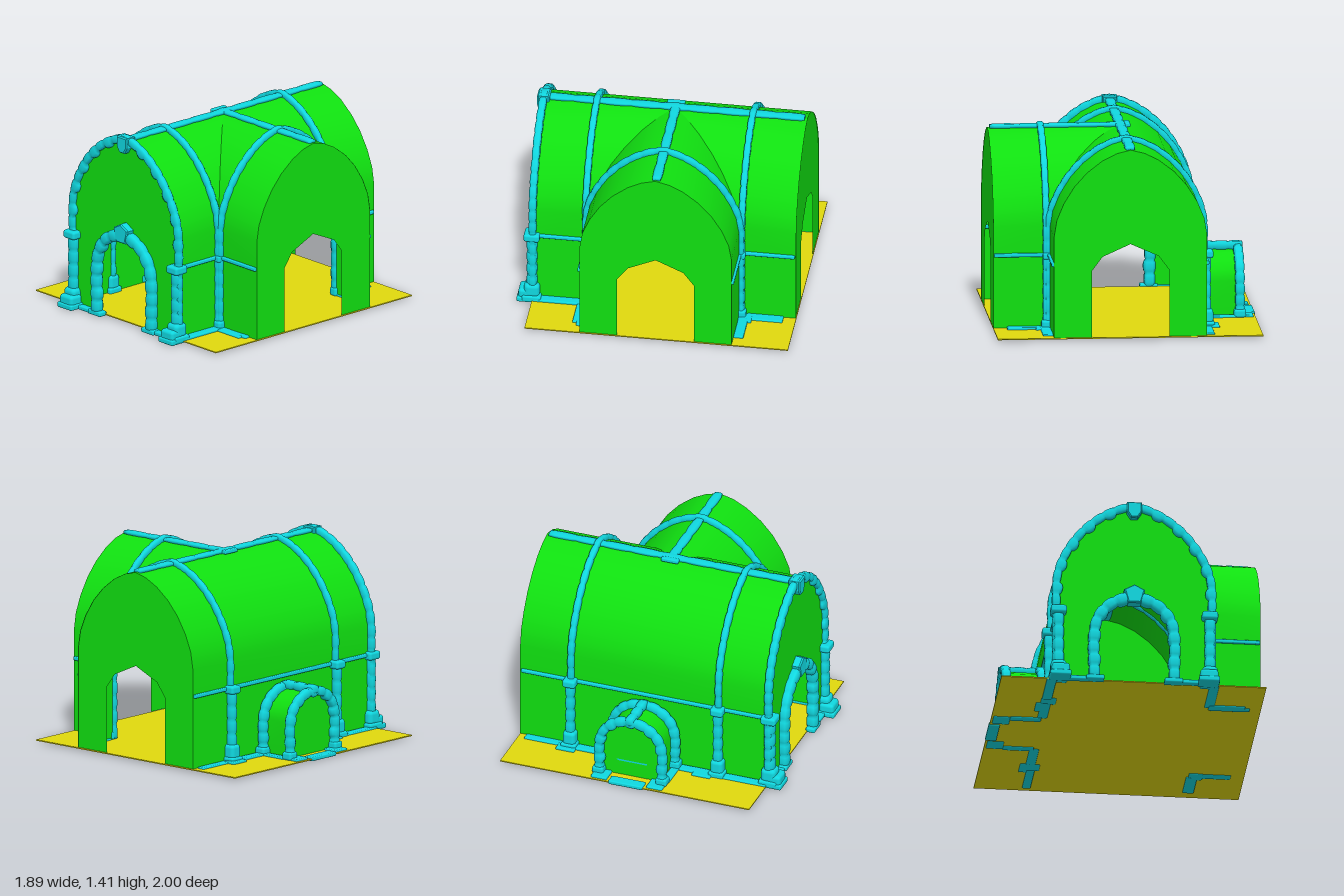
import * as THREE from 'three';
import { RoundedBoxGeometry } from 'three/addons/geometries/RoundedBoxGeometry.js';

const V = (x, y, z) => new THREE.Vector3(x, y, z);
const mat = (color) => new THREE.MeshStandardMaterial({ color, side: THREE.DoubleSide });
const CZ = -0.05; // centre line of the side wing and alcove
const FRONT = 0.885, BACK = -1, END = 0.945;

// Half profiles: [offset from centre, height], from the ground to the crown
const VAULT = [[0.545, 0.02], [0.545, 0.53], [0.545, 0.75], [0.525, 0.87], [0.475, 0.99], [0.4, 1.11],
  [0.31, 1.21], [0.2, 1.295], [0.1, 1.345], [0, 1.37]];
const DOOR = [[0.275, 0.02], [0.275, 0.5], [0.2, 0.6], [0, 0.69]];
const DOOR_TRIM = [[0.285, 0.02], [0.285, 0.38], [0.255, 0.5], [0.18, 0.595], [0.09, 0.645], [0, 0.665]];
const ALCOVE = [[0.215, 0.02], [0.215, 0.27], [0.195, 0.34], [0.15, 0.405], [0.08, 0.45], [0, 0.465]];
const WINDOW = [[0.1, 0.14], [0.1, 0.3], [0.075, 0.365], [0, 0.405]];

// Whole arch, left foot to right foot
const both = (p) => [...p.map(([d, h]) => [-d, h]), ...p.slice(0, -1).reverse()];
const grow = (p, k) => p.map(([d, h]) => [d + (d > 0.01 ? k * Math.min(1, d * 4) : 0), h > 0.6 ? h + k * (1 - d) : h]);

export function createModel() {
  const group = new THREE.Group();
  const green = mat(0x10e010), cyan = mat(0x10d8e0), yellow = mat(0xe0d80e);

  const add = (name, geo, material) => {
    const m = new THREE.Mesh(geo, material);
    m.name = name;
    group.add(m);
    return m;
  };
  const block = (name, x, y, z, w, h, d) =>
    add(name, new RoundedBoxGeometry(w, h, d, 2, Math.min(w, h, d) * 0.3), cyan).position.set(x, y, z);
  const build = (pos, idx) => {
    const g = new THREE.BufferGeometry();
    g.setAttribute('position', new THREE.Float32BufferAttribute(pos, 3));
    g.setIndex(idx);
    g.computeVertexNormals();
    return g;
  };

  // Ruled surface along a half profile; place(d, h) gives its two ends
  const sheet = (name, profile, place) => {
    const pos = [], idx = [];
    profile.forEach(([d, h], i) => {
      for (const p of place(d, h)) pos.push(p.x, p.y, p.z);
      const a = i * 2;
      if (i) idx.push(a - 2, a, a - 1, a - 1, a, a + 1);
    });
    add(name, build(pos, idx), green);
  };

  // Flat wall with a doorway cut into its foot; across turns it to face +x
  const wall = (name, outline, notch, at, across, material = green) => {
    const pts = both(outline);
    if (notch) pts.push(...both(notch).reverse());
    const g = new THREE.ShapeGeometry(new THREE.Shape(pts.map(([x, y]) => new THREE.Vector2(x, y))));
    if (across) g.rotateY(Math.PI / 2).translate(at, 0, CZ);
    else g.translate(0, 0, at);
    add(name, g, material);
  };

  // Chain of bulging stones swept along a path; axis is the fixed depth direction
  const CORNERS = [[1, -0.55], [1, 0.55], [0.55, 1], [-0.55, 1], [-1, 0.55], [-1, -0.55], [-0.55, -1], [0.55, -1]];
  const trim = (name, pts, axis, w, d, stones, bump = 0) => {
    const curve = new THREE.CatmullRomCurve3(pts, false, 'centripetal');
    const pos = [], idx = [], n = stones * 6;
    for (let i = 0; i <= n; i++) {
      const c = curve.getPointAt(i / n), t = curve.getTangentAt(i / n);
      const s = V(0, 0, 0).crossVectors(t, axis).normalize();
      const swell = Math.sqrt(Math.abs(Math.sin((i / 6) * Math.PI)));
      const k = 0.82 + 0.18 * swell;
      const inner = 1 + (Math.floor(i / 6) % 2 ? bump * swell : 0);
      for (const [a, b] of CORNERS) {
        const p = c.clone().addScaledVector(s, a * w * k * (a > 0 ? inner : 1)).addScaledVector(axis, b * d * k);
        pos.push(p.x, p.y, p.z);
      }
      if (i) for (let j = 0; j < 8; j++) {
        const a = (i - 1) * 8 + j, b = (i - 1) * 8 + (j + 1) % 8;
        idx.push(a, a + 8, b, b, a + 8, b + 8);
      }
    }
    for (let j = 1; j < 7; j++) idx.push(0, j, j + 1, n * 8, n * 8 + j + 1, n * 8 + j);
    add(name, build(pos, idx), cyan);
  };
  const X = V(1, 0, 0), Z = V(0, 0, 1), Y = V(0, 1, 0);
  const archZ = (name, p, z, ...rest) => trim(name, both(p).map(([u, h]) => V(u, h, z)), Z, ...rest);
  const archX = (name, p, x, ...rest) => trim(name, both(p).map(([u, h]) => V(x, h, CZ - u)), X, ...rest);

  // Ground plate
  const ground = add('floor', new THREE.BoxGeometry(1.89, 0.008, 1.89), yellow);
  ground.position.set(0, 0.014, -0.055);

  // Hall vault, split on the right where the wing joins it
  sheet('hallVaultLeft', VAULT.slice(1), (d, h) => [V(-d, h, BACK), V(-d, h, FRONT)]);
  sheet('hallRightFront', VAULT, (d, h) => [V(d, h, CZ + d), V(d, h, FRONT)]);
  sheet('hallRightBack', VAULT, (d, h) => [V(d, h, CZ - d), V(d, h, BACK)]);
  for (const s of [1, -1]) sheet('wingVault', VAULT, (d, h) => [V(d, h, CZ + s * d), V(END, h, CZ + s * d)]);

  // End walls with doorways
  wall('frontWall', VAULT, DOOR, FRONT);
  wall('backWall', VAULT, DOOR, BACK + 0.005);
  wall('wingEndWall', VAULT, DOOR, END - 0.003, true);

  // Left wall, open to the alcove
  const left = new THREE.Shape([[FRONT, 0.02], [FRONT, 0.53], [BACK, 0.53], [BACK, 0.02],
    ...both(ALCOVE).map(([u, h]) => [CZ + u, h])].map(([z, y]) => new THREE.Vector2(-z, y)));
  add('leftWall', new THREE.ShapeGeometry(left).rotateY(Math.PI / 2).translate(-0.545, 0, 0), green);

  // Alcove: barrel, end wall, window and arches
  for (const s of [1, -1]) sheet('alcoveVault', ALCOVE, (d, h) => [V(-0.83, h, CZ + s * d), V(-0.545, h, CZ + s * d)]);
  wall('alcoveEndWall', ALCOVE, null, -0.815, true);
  wall('windowPane', WINDOW, null, -0.805, true, cyan);
  archX('windowFrame', WINDOW, -0.8, 0.014, 0.014, 9);
  block('windowSill', -0.795, 0.135, CZ, 0.04, 0.03, 0.25);
  for (const x of [-0.835, -0.58]) {
    archX('alcoveArch', grow(ALCOVE, 0.025).map(([d, h]) => [d, h + (h > 0.3 ? 0.01 : 0)]), x, 0.034, 0.034, 15, 0.25);
    for (const s of [1, -1]) block('alcoveFoot', x, 0.045, CZ + s * 0.24, 0.085, 0.06, 0.085);
  }
  trim('alcoveRidge', [V(-0.87, 0.49, CZ), V(-0.57, 0.49, CZ)], Y, 0.035, 0.03, 3);

  // Front doorway and its keystone
  archZ('doorTrim', DOOR_TRIM, FRONT + 0.02, 0.04, 0.04, 17, 0.2);
  const key = (name, pts, z) => add(name, new THREE.ExtrudeGeometry(
    new THREE.Shape(pts.map(([x, y]) => new THREE.Vector2(x, y))),
    { depth: 0.07, bevelSize: 0.008, bevelThickness: 0.01, bevelSegments: 1 }), cyan).position.z = z;
  key('doorKeystone', [[-0.04, 0.62], [0.04, 0.62], [0.065, 0.71], [0, 0.745], [-0.065, 0.71]], FRONT - 0.02);
  key('frontKeystone', [[-0.02, 1.29], [0.02, 1.29], [0.045, 1.33], [0.045, 1.395], [-0.045, 1.395], [-0.045, 1.33]], FRONT - 0.03);

  // Ribs over the hall and the wing
  const rib = grow(VAULT, 0.01), corner = CZ + 0.56, cornerBack = CZ - 0.56;
  archZ('frontRib', rib, FRONT + 0.005, 0.03, 0.028, 35, 0.6);
  for (const z of [corner, cornerBack]) archZ('hallRib', rib, z, 0.024, 0.024, 31, 0.1);
  archX('wingRib', rib, 0.57, 0.024, 0.024, 31, 0.1);

  // Ridge beams
  trim('hallRidge', [V(0, 1.375, -0.98), V(0, 1.375, FRONT)], Y, 0.036, 0.016, 9);
  trim('wingRidge', [V(-0.05, 1.375, CZ - 0.005), V(0.93, 1.375, CZ - 0.005)], Y, 0.034, 0.016, 5);
  block('ridgeKnob', -0.05, 1.378, CZ, 0.04, 0.03, 0.13);

  // Columns with capitals and stepped bases
  const column = (x, z, r) => {
    trim('column', [V(x, 0.02, z), V(x, 0.52, z)], Z, r, r, 5);
    block('capital', x, 0.54, z, r * 3, 0.06, r * 3);
    block('columnBase', x, 0.09, z, r * 3, 0.11, r * 3);
    block('columnFoot', x, 0.03, z, r * 3.6, 0.05, r * 3.6);
  };
  for (const s of [1, -1]) {
    column(s * 0.54, FRONT + 0.01, 0.038);
    block('frontPedestal', s * 0.53, 0.06, 0.935, 0.13, 0.08, 0.11);
    block('frontPlinth', s * 0.53, 0.02, 0.935, 0.15, 0.04, 0.13);
    block('doorStone', s * 0.28, 0.02, 0.91, 0.13, 0.035, 0.07);
  }
  for (const z of [corner, cornerBack]) {
    column(-0.57, z, 0.032);
    block('cornerCapital', 0.565, 0.54, z, 0.06, 0.05, 0.06);
    block('cornerBase', 0.57, 0.045, z, 0.07, 0.07, 0.07);
  }

  // Thin string course at the springing line
  const course = (x, z, w, d) => block('stringCourse', x, 0.545, z, w, 0.028, d);
  course(-0.545, (FRONT + BACK) / 2, 0.034, FRONT - BACK - 0.02);
  course(0.545, (corner + FRONT) / 2, 0.034, FRONT - corner);
  course(0.545, (cornerBack + BACK) / 2, 0.034, cornerBack - BACK - 0.02);
  for (const s of [1, -1]) course(0.75, CZ + s * 0.545, 0.38, 0.034);

  // Flat footing stones along the walls: [x, z, width, depth]
  const footing = [
    [-0.585, 0.72, 0.07, 0.34], [-0.585, 0.35, 0.07, 0.24], [-0.585, -0.43, 0.07, 0.26], [-0.575, -0.8, 0.06, 0.3],
    [-0.61, 0.41, 0.09, 0.14], [-0.61, -0.62, 0.1, 0.14], [-0.91, CZ, 0.08, 0.26], [-0.87, CZ + 0.21, 0.12, 0.12],
    [-0.87, CZ - 0.21, 0.12, 0.12], [-0.7, CZ + 0.25, 0.22, 0.06], [-0.7, CZ - 0.25, 0.22, 0.06],
    [0.575, 0.7, 0.07, 0.36], [0.575, -0.78, 0.08, 0.26], [0.6, -0.64, 0.1, 0.1],
    [0.73, -0.63, 0.24, 0.07], [0.7, 0.525, 0.26, 0.08], [0.83, 0.51, 0.07, 0.05],
    [0.4, 0.905, 0.16, 0.05], [-0.4, 0.905, 0.16, 0.05],
  ];
  footing.forEach(([x, z, w, d], i) => block('footingStone', x, 0.015 + (i % 3) * 0.002, z, w, 0.03, d));
  return group;
}
